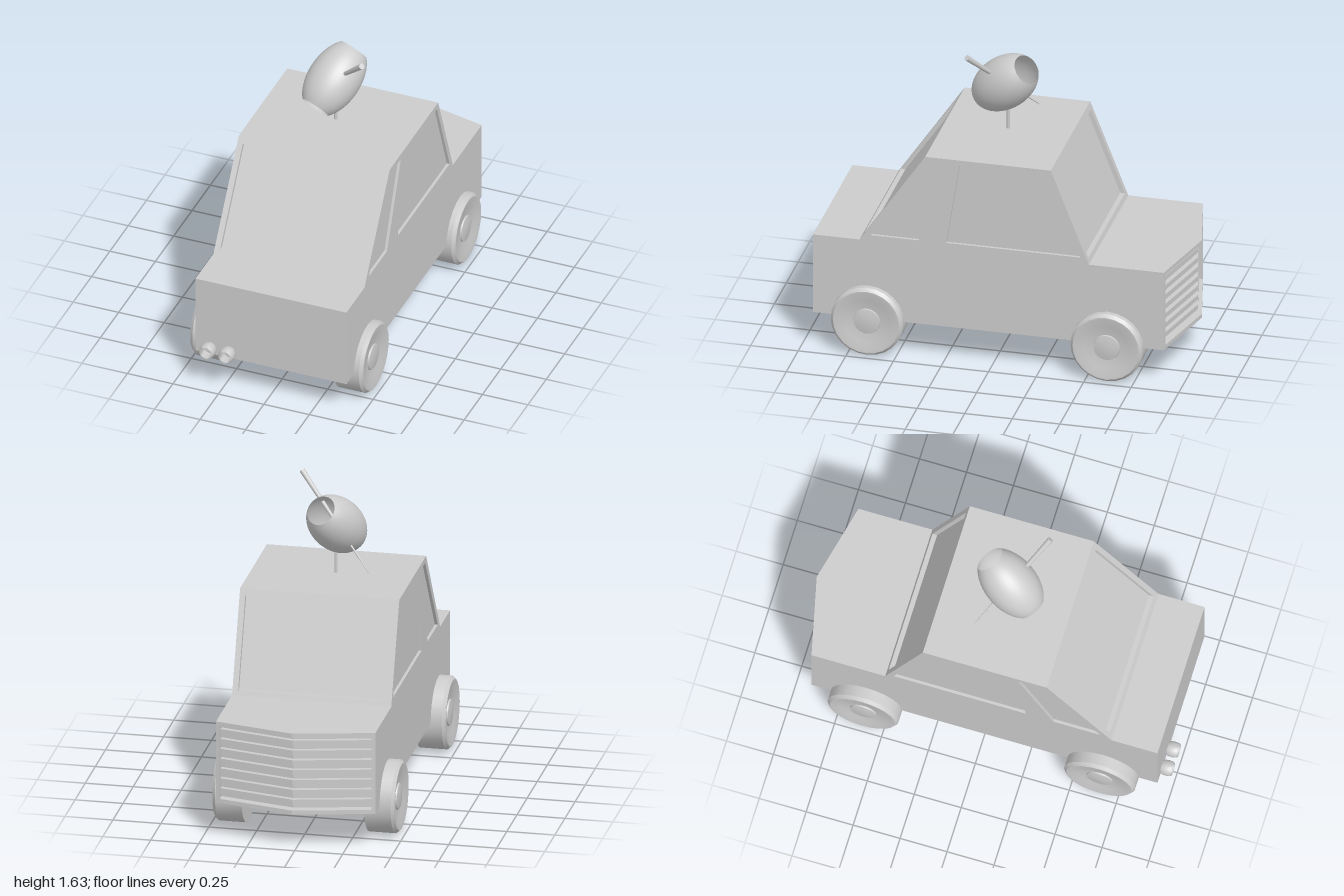
import * as THREE from 'three';
import { toCreasedNormals } from 'three/addons/utils/BufferGeometryUtils.js';

const grey = new THREE.MeshStandardMaterial({ color: 0xcccccc });
const greyDouble = new THREE.MeshStandardMaterial({ color: 0xcccccc, side: THREE.DoubleSide });
const X0 = -0.4, X1 = 0.43, XC = 0.015; // body sides and middle
const SILL = 0.64, ROOF = 1.15;

const points = (list) => list.map(([x, y]) => new THREE.Vector2(x, y));

function extrude(outline, depth, holes = []) {
  const shape = new THREE.Shape(points(outline));
  for (const hole of holes) shape.holes.push(new THREE.Path(points(hole)));
  return new THREE.ExtrudeGeometry(shape, { depth, bevelEnabled: false });
}

export function createModel() {
  const model = new THREE.Group();
  const add = (name, geometry, material = grey) => {
    const mesh = new THREE.Mesh(geometry, material);
    mesh.name = name;
    model.add(mesh);
    return mesh;
  };

  // Horizontal slab from a plan outline of (x, -z) points
  const slab = (name, plan, y0, y1) =>
    add(name, extrude(plan, y1 - y0).rotateX(-Math.PI / 2).translate(0, y0, 0));
  // Pointed end of the body: distance along -z at a given x
  const nose = (x, inset = 0) => 1 - inset - 0.097 * Math.abs(x - XC) / (X1 - XC);
  const pointedPlan = (start, inset, x0 = X0, x1 = X1) =>
    [[x0, start], [x1, start], [x1, nose(x1, inset)], [XC, nose(XC, inset)], [x0, nose(x0, inset)]];

  // Lower body and slatted grille
  slab('lowerBody', pointedPlan(-0.94, 0.045), 0.2, SILL);
  slab('grilleTopRail', pointedPlan(0.8, 0), 0.618, SILL);
  slab('grilleBottomRail', pointedPlan(0.8, 0), 0.2, 0.222);
  for (const [a, b] of [[X0, X0 + 0.02], [X1 - 0.02, X1]]) {
    slab('grillePost', [[a, 0.8], [b, 0.8], [b, nose(b)], [a, nose(a)]], 0.2, SILL);
  }
  for (let i = 0; i < 7; i++) {
    const y = 0.2475 + i * 0.0535;
    slab('grilleSlat', pointedPlan(0.8, 0.02, X0 + 0.01, X1 - 0.01), y, y + 0.026);
  }

  // Cabin: glass core with window frames standing proud of it; side outlines use (-z, y)
  const side = (name, outline, x, depth, holes) =>
    add(name, extrude(outline, depth, holes).rotateY(Math.PI / 2).translate(x, 0, 0));
  const skin = 0.015, rim = 0.025;
  const cabin = [[-0.695, SILL], [0.51, SILL], [0.31, ROOF], [-0.35, ROOF]];
  const core = [[-0.695 + rim, SILL], [0.51 - rim, SILL], [0.31 - rim, ROOF], [-0.35 + rim, ROOF]];
  const quarterWindow = [[-0.636, 0.672], [-0.385, 0.672], [-0.198, 1.12], [-0.326, 1.12]];
  const doorWindow = [[-0.24, 0.675], [0.465, 0.675], [0.294, 1.12], [-0.171, 1.12]];
  side('cabinGlass', core, X0 + skin, X1 - X0 - 2 * skin);
  for (const x of [X0, X1 - skin]) side('sideFrame', cabin, x, skin, [quarterWindow, doorWindow]);

  // Sloped window frames, sheared along z to follow the cabin profile
  const slopedFrame = (name, zLow, zHigh, back) => {
    const h = ROOF - SILL, a = X0 + skin, b = X1 - skin;
    const geometry = extrude([[a, 0], [b, 0], [b, h], [a, h]], rim,
      [[[-0.37, 0.025], [0.4, 0.025], [0.4, h - 0.03], [-0.37, h - 0.03]]]);
    geometry.translate(0, 0, back);
    geometry.applyMatrix4(new THREE.Matrix4().makeBasis(
      new THREE.Vector3(1, 0, 0), new THREE.Vector3(0, 1, (zHigh - zLow) / h), new THREE.Vector3(0, 0, 1)));
    add(name, geometry.translate(0, SILL, zLow));
  };
  slopedFrame('frontWindowFrame', 0.695, 0.35, -rim);
  slopedFrame('backWindowFrame', -0.51, -0.31, 0);

  // Wheels with chamfered tread, dished disc and hub
  const wheelProfile = points([[0, 0], [0.19, 0], [0.19, 0.138], [0.175, 0.155], [0.165, 0.155],
    [0.12, 0.142], [0.07, 0.136], [0.068, 0.144], [0.04, 0.149], [0, 0.151]]);
  for (const sign of [-1, 1]) {
    for (const z of [0.65, -0.61]) {
      const geometry = toCreasedNormals(new THREE.LatheGeometry(wheelProfile, 24), 0.5);
      geometry.rotateZ(-sign * Math.PI / 2);
      add('wheel', geometry).position.set(sign * 0.32, 0.195, z);
    }
  }

  // Twin exhaust tips: barrel-shaped and hollow
  const tipProfile = points([[0.032, 0], [0.039, 0.015], [0.041, 0.035], [0.039, 0.053], [0.034, 0.065],
    [0.03, 0.065], [0.03, 0.01], [0, 0.01]]);
  for (const x of [-0.32, -0.215]) {
    const geometry = toCreasedNormals(new THREE.LatheGeometry(tipProfile, 24), 0.7);
    add('exhaustTip', geometry.rotateX(Math.PI / 2), greyDouble).position.set(x, 0.236, 0.935);
  }

  // Roof ornament: post, hollow olive open at both ends, tapered pick
  add('ornamentPost', new THREE.CylinderGeometry(0.009, 0.009, 0.15, 12)).position.set(0, 1.215, 0.02);

  const up = new THREE.Vector3(0, 1, 0);
  const centre = new THREE.Vector3(0, 1.407, 0.037);
  const oliveProfile = [];
  for (let i = 0; i <= 20; i++) {
    const t = -1 + i / 10;
    oliveProfile.push(new THREE.Vector2(0.136 * Math.sqrt(1 - 0.67 * t * t), 0.178 * t));
  }
  const olive = add('olive', new THREE.LatheGeometry(oliveProfile, 40), greyDouble);
  olive.position.copy(centre);
  olive.quaternion.setFromUnitVectors(up, new THREE.Vector3(0.31, 0.63, -0.71).normalize());

  const thick = new THREE.Vector3(0.21, 1.627, 0.186), thin = new THREE.Vector3(-0.194, 1.206, -0.097);
  const along = thick.clone().sub(thin);
  const pick = add('pick', new THREE.CylinderGeometry(0.015, 0.002, along.length(), 16));
  pick.position.copy(thick).add(thin).multiplyScalar(0.5);
  pick.quaternion.setFromUnitVectors(up, along.normalize());

  return model;
}
